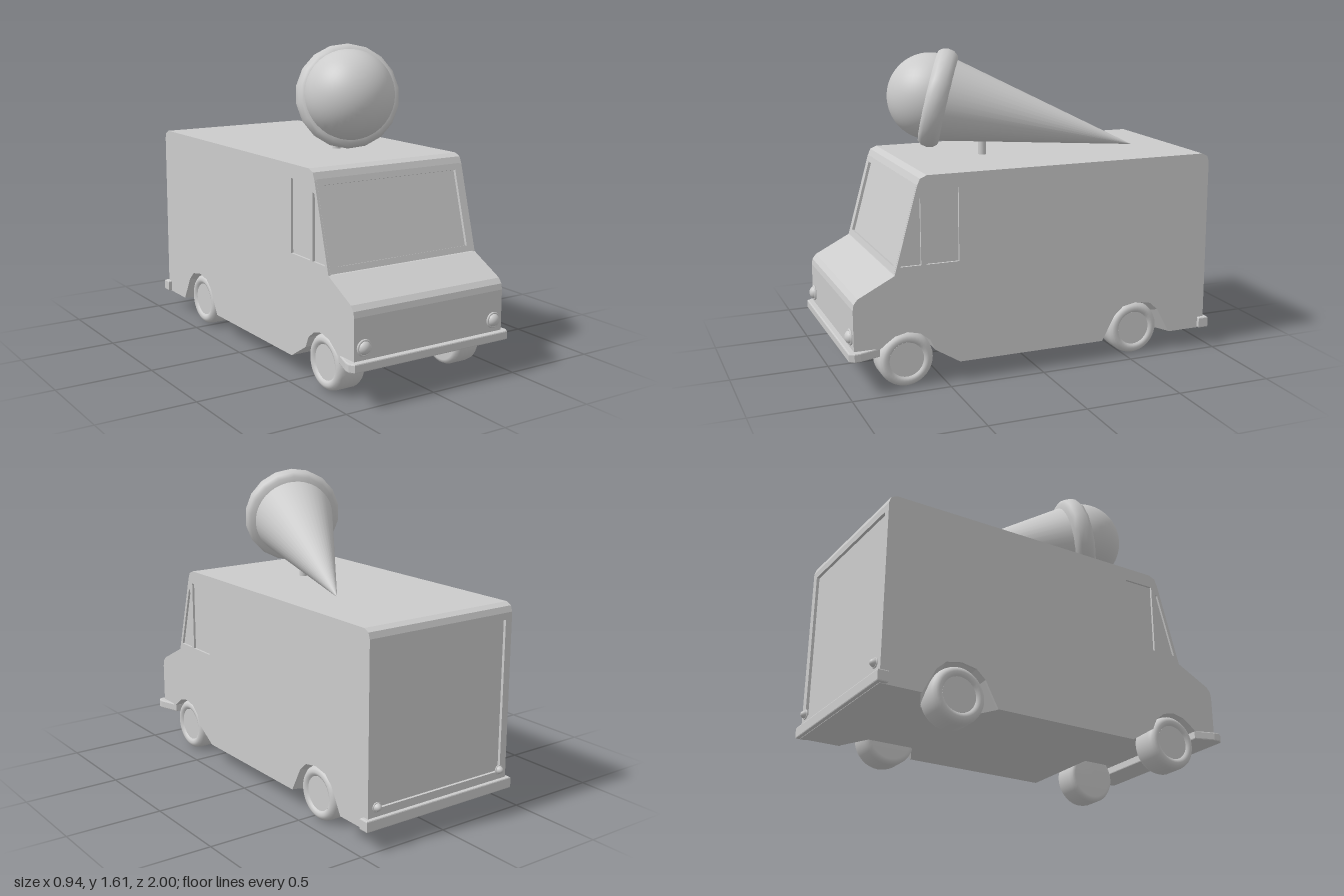
import * as THREE from 'three';

const material = new THREE.MeshStandardMaterial({ color: 0xcccccc, side: THREE.DoubleSide });
const W = 0.44;      // half width of the body
const SKIN = 0.012;  // thickness of the side panels
const IN = 0.27;     // inner end of the wheel wells
const INSET = 0.015; // depth of windscreen and rear door

const points = (list) => list.map(([a, b]) => new THREE.Vector2(a, b));

function add(parent, name, geometry, x = 0, y = 0, z = 0) {
  const mesh = new THREE.Mesh(geometry, material);
  mesh.name = name;
  mesh.position.set(x, y, z);
  parent.add(mesh);
  return mesh;
}

// Extrudes a (z, y) outline across the vehicle, from x0 to x1
function across(outline, x0, x1, holes = []) {
  const shape = new THREE.Shape(points(outline));
  for (const h of holes) shape.holes.push(new THREE.Path(points(h)));
  return new THREE.ExtrudeGeometry(shape, { depth: x1 - x0, bevelEnabled: false })
    .rotateY(-Math.PI / 2).translate(x1, 0, 0);
}

// Flat rectangular frame with an opening, facing +z
function frame(hw, y0, y1, hx, h0, h1) {
  const rect = (w, a, b) => points([[-w, a], [w, a], [w, b], [-w, b]]);
  const shape = new THREE.Shape(rect(hw, y0, y1));
  shape.holes.push(new THREE.Path(rect(hx, h0, h1)));
  return new THREE.ExtrudeGeometry(shape, { depth: INSET, bevelEnabled: false });
}

// Side outline pieces
const rearArch = [[-0.76, 0.1], [-0.69, 0.23], [-0.64, 0.275], [-0.56, 0.29], [-0.48, 0.275], [-0.43, 0.23], [-0.36, 0.1]];
const frontArch = [[0.56, 0.18], [0.585, 0.235], [0.635, 0.275], [0.7, 0.29], [0.765, 0.275], [0.815, 0.24], [0.84, 0.22]];
const nose = [[0.97, 0.22], [0.97, 0.43], [0.965, 0.46], [0.945, 0.485], [0.76, 0.58]];
const roof = [[0.64, 1.01], [0.625, 1.045], [0.59, 1.06], [-0.93, 1.06], [-0.96, 1.045], [-0.97, 1.015]];
const recess = [[0.745, 0.58], [0.625, 1.01]];
const back = -0.97 + INSET;
const rear = [[-0.97, 1.0], [back, 1.0], [back, 0.1]];

function createBody() {
  const body = new THREE.Group();
  body.name = 'body';

  add(body, 'bodyCore', across(
    [[0.43, 0.1], [0.56, 0.18], [0.6, 0.22], ...nose, ...recess, ...roof, ...rear], -IN, IN));

  const windows = [
    [[0.43, 0.62], [0.6, 0.62], [0.6, 0.99], [0.43, 0.99]],
    [[0.625, 0.62], [0.73, 0.62], [0.638, 0.95], [0.625, 0.95]],
  ];
  for (const side of [1, -1]) {
    const span = (a, b) => (side > 0 ? [a, b] : [-b, -a]);
    // Wheel wells, the rear one narrowing inward
    const well = across([[0.43, 0.1], ...frontArch, ...nose, ...recess, ...roof, ...rear, ...rearArch], ...span(IN, W - SKIN));
    const p = well.attributes.position;
    for (let i = 0; i < p.count; i++) {
      const inner = Math.abs(p.getX(i)) < IN + 0.01;
      if (inner && p.getY(i) < 0.3 && Math.abs(p.getZ(i) + 0.56) < 0.21) {
        p.setY(i, 0.1 + (p.getY(i) - 0.1) * 0.6);
        p.setZ(i, -0.56 + (p.getZ(i) + 0.56) * 0.6);
      }
    }
    well.computeVertexNormals();
    add(body, 'wheelWells', well);
    // Side panel with cab windows
    add(body, 'sidePanel', across([[0.43, 0.1], ...frontArch, ...nose, ...roof, [-0.97, 0.1], ...rearArch],
      ...span(W - SKIN, W), windows));
  }

  // Windscreen and rear door surrounds
  const tilt = Math.atan2(0.12, 0.43);
  const screen = add(body, 'windscreenFrame', frame(W - SKIN, 0, 0.446, 0.395, 0.031, 0.415), 0, 0.58, 0.745);
  screen.rotation.x = -tilt;
  add(body, 'rearDoorFrame', frame(W - SKIN, 0.1, 1.0, 0.4, 0.2, 0.98), 0, 0, -0.97);
  return body;
}

function createWheel() {
  const profile = points([[0, 0], [0.115, 0], [0.132, 0.008], [0.14, 0.025], [0.14, 0.115], [0.136, 0.135],
    [0.125, 0.148], [0.11, 0.155], [0.095, 0.15], [0.085, 0.138]]);
  const wheel = new THREE.Group();
  add(wheel, 'tyre', new THREE.LatheGeometry(profile, 36).rotateZ(-Math.PI / 2));
  add(wheel, 'hub', new THREE.CylinderGeometry(0.088, 0.088, 0.02, 36).rotateZ(-Math.PI / 2), 0.132);
  return wheel;
}

// Round lamp: a rim and a domed lens, facing +z
function createLamp(name, r, depth) {
  const lamp = new THREE.Group();
  lamp.name = name;
  add(lamp, 'rim', new THREE.TorusGeometry(r * 0.88, r * 0.15, 8, 24), 0, 0, 0.004);
  add(lamp, 'lens', new THREE.SphereGeometry(r * 0.85, 24, 12, 0, Math.PI * 2, 0, Math.PI / 2)
    .rotateX(Math.PI / 2).scale(1, 1, depth / (r * 0.85)));
  return lamp;
}

function createCone() {
  const cone = new THREE.Group();
  cone.name = 'iceCream';
  const top = new THREE.Vector3(-0.08, 1.365, 0.395);
  const axis = new THREE.Vector3(0.32, 1.115, -0.57).sub(top);
  const length = axis.length();
  // Built along +y, which runs from scoop to tip
  add(cone, 'scoop', new THREE.SphereGeometry(0.225, 40, 28));
  add(cone, 'wafer', new THREE.CylinderGeometry(0, 0.222, length - 0.06, 40, 1, true), 0, (length + 0.06) / 2, 0);
  const collar = points([[0.215, -0.015], [0.24, -0.01], [0.256, 0.01], [0.262, 0.04], [0.256, 0.07], [0.24, 0.09], [0.205, 0.1]]);
  add(cone, 'collar', new THREE.LatheGeometry(collar, 18));
  cone.position.copy(top);
  cone.quaternion.setFromUnitVectors(new THREE.Vector3(0, 1, 0), axis.normalize());
  return cone;
}

// Bumper from a plan outline of its left half (x, z), mirrored
function createBumper(half, y0, y1) {
  const outline = [...half, ...half.map(([x, z]) => [-x, z]).reverse()].map(([x, z]) => [x, -z]);
  const b = 0.006;
  return new THREE.ExtrudeGeometry(new THREE.Shape(points(outline)),
    { depth: y1 - y0 - 2 * b, bevelSize: b, bevelThickness: b, bevelOffset: -b, bevelSegments: 2 })
    .rotateX(-Math.PI / 2).translate(0, y0 + b, 0);
}

export function createModel() {
  const model = new THREE.Group();
  model.name = 'iceCreamTruck';
  model.add(createBody());

  for (const side of [1, -1]) {
    for (const [name, z] of [['frontWheel', 0.7], ['rearWheel', -0.555]]) {
      const wheel = createWheel();
      wheel.name = name;
      wheel.position.set(side * 0.275, 0.14, z);
      if (side < 0) wheel.rotation.y = Math.PI;
      model.add(wheel);
    }
    const head = createLamp('headlight', 0.04, 0.03);
    head.position.set(side * 0.385, 0.285, 0.97);
    const tail = createLamp('tailLight', 0.025, 0.03);
    tail.position.set(side * 0.39, 0.21, -0.97);
    tail.rotation.y = Math.PI;
    model.add(head, tail);
  }

  add(model, 'frontBumper', createBumper([[0.435, 0.84], [0.47, 0.945], [0.472, 0.975], [0.455, 1]], 0.18, 0.225));
  add(model, 'rearBumper', createBumper([[0.46, -0.99], [0.46, -0.935]], 0.102, 0.16));

  add(model, 'post', new THREE.CylinderGeometry(0.021, 0.021, 0.16, 20), 0.012, 1.13, 0.145);
  model.add(createCone());
  return model;
}
